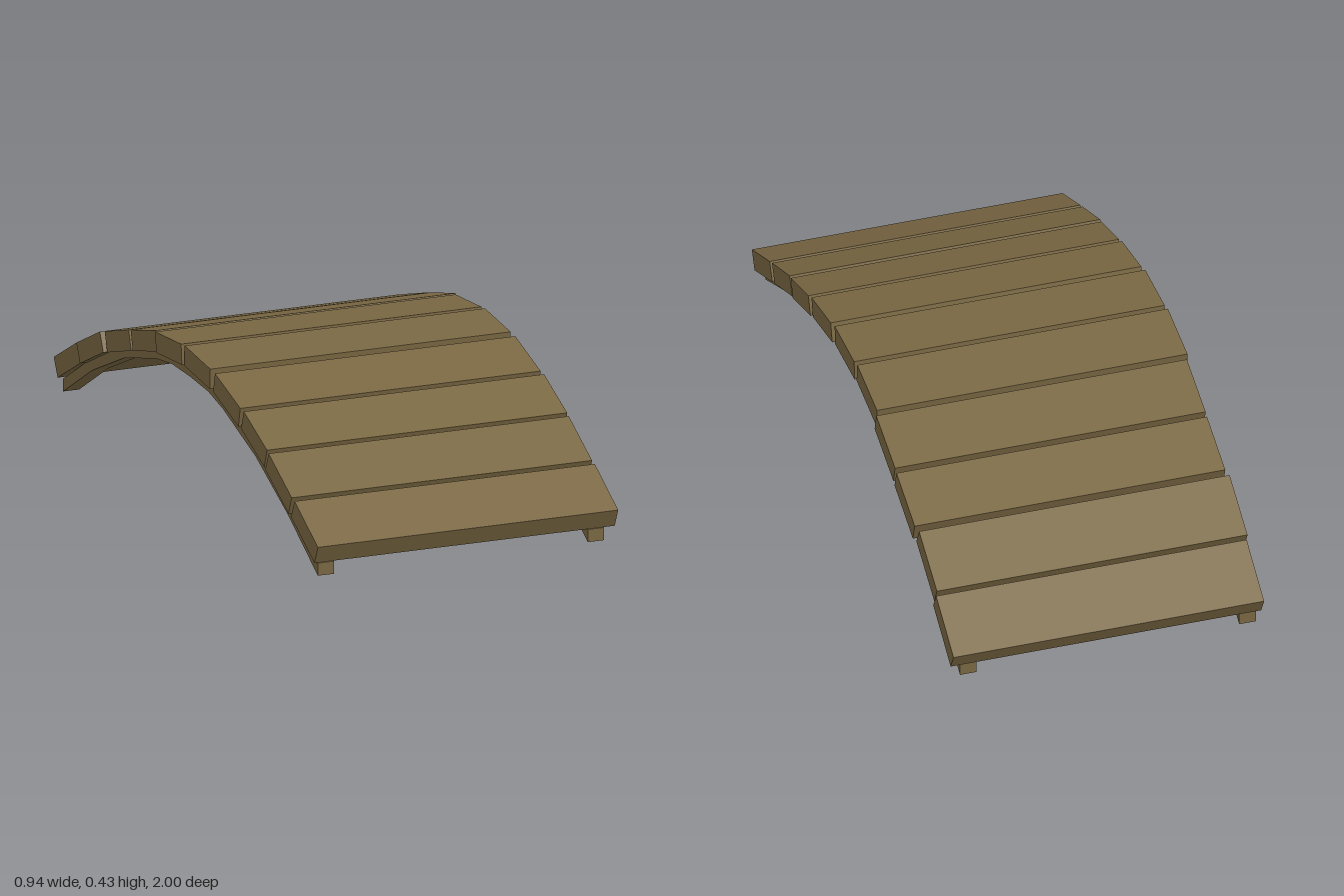
import * as THREE from 'three';

const WIDTH = 0.93, PLANK_THICKNESS = 0.061;

// Top edge of each plank as [z, y, z, y], then its small sideways offset
const PLANKS = [
  [1.0, 0.114, 0.822, 0.2, 0.004],
  [0.806, 0.206, 0.63, 0.287, 0.002],
  [0.613, 0.292, 0.437, 0.356, 0.004],
  [0.42, 0.361, 0.228, 0.409, 0.0],
  [0.202, 0.415, 0.008, 0.428, -0.004],
  [-0.01, 0.428, -0.206, 0.407, -0.008],
  [-0.226, 0.404, -0.413, 0.351, 0.0],
  [-0.43, 0.346, -0.612, 0.287, 0.001],
  [-0.632, 0.281, -0.81, 0.195, -0.006],
  [-0.825, 0.19, -0.999, 0.095, 0.001],
];

// Underside of the arched beams as [z, y]
const ARCH = [
  [0.972, 0.019], [0.742, 0.137], [0.5, 0.238], [0.25, 0.308], [0.14, 0.327], [0, 0.331],
  [-0.138, 0.328], [-0.26, 0.308], [-0.5, 0.238], [-0.742, 0.129], [-0.963, 0],
];
const BEAM_HEIGHT = 0.038, BEAM_WIDTH = 0.05;

export function createModel() {
  const model = new THREE.Group();
  model.name = 'archedBridge';
  const wood = new THREE.MeshStandardMaterial({ color: 0x7a6843 });
  wood.name = 'brownWood';
  wood.flatShading = true;

  // Deck planks, each tilted to follow the arch
  const deck = new THREE.Group();
  deck.name = 'deck';
  PLANKS.forEach(([z0, y0, z1, y1, offset], i) => {
    const length = Math.hypot(z1 - z0, y1 - y0);
    const geometry = new THREE.BoxGeometry(WIDTH, PLANK_THICKNESS, length);
    geometry.translate(0, -PLANK_THICKNESS / 2, 0);
    const plank = new THREE.Mesh(geometry, wood);
    plank.name = `plank${i + 1}`;
    plank.position.set(offset, (y0 + y1) / 2, (z0 + z1) / 2);
    plank.rotation.x = Math.atan2(y1 - y0, z0 - z1);
    deck.add(plank);
  });
  model.add(deck);

  // Two arched beams under the deck
  const outline = [
    ...ARCH.map(([z, y]) => new THREE.Vector2(z, y)),
    ...ARCH.map(([z, y]) => new THREE.Vector2(z, y + BEAM_HEIGHT)).reverse(),
  ];
  const beamGeometry = new THREE.ExtrudeGeometry(new THREE.Shape(outline), {
    depth: BEAM_WIDTH, bevelEnabled: false,
  });
  beamGeometry.translate(0, 0, -BEAM_WIDTH / 2);
  beamGeometry.rotateY(-Math.PI / 2);
  for (const [name, x] of [['leftBeam', 0.411], ['rightBeam', -0.425]]) {
    const beam = new THREE.Mesh(beamGeometry, wood);
    beam.name = name;
    beam.position.x = x;
    model.add(beam);
  }
  return model;
}
